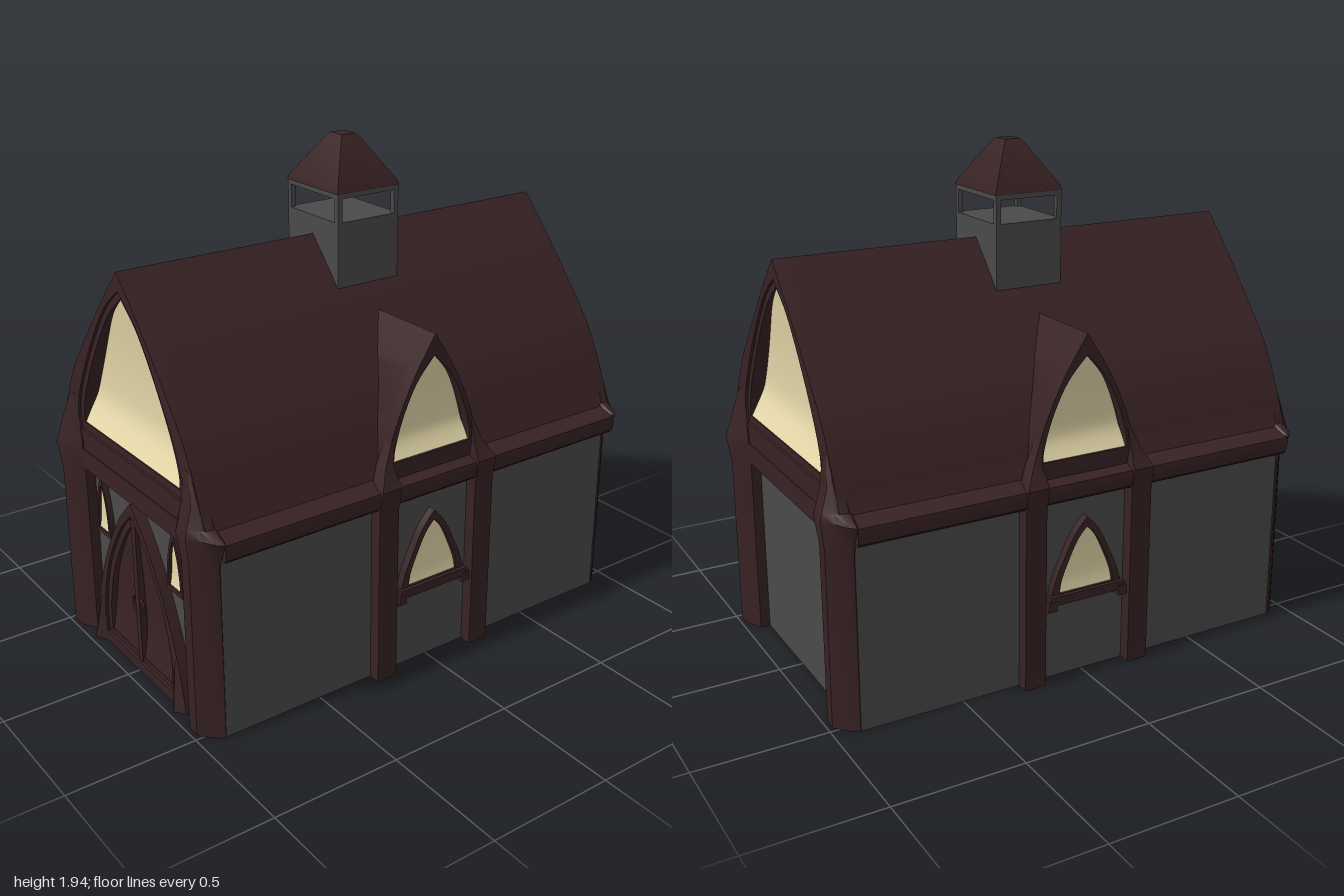
import * as THREE from 'three';
import { toCreasedNormals } from 'three/addons/utils/BufferGeometryUtils.js';

const material = (name, color, side = THREE.FrontSide) => {
  const m = new THREE.MeshStandardMaterial({ color, side });
  m.name = name;
  return m;
};

export function createModel() {
  const model = new THREE.Group();
  model.name = 'chapel';
  const timber = material('dark maroon timber', 0x382224);
  const stone = material('charcoal stone', 0x4a4a4a, THREE.DoubleSide);
  const glass = material('warm cream glass', 0xe6d9aa, THREE.DoubleSide);

  const add = (parent, name, geo, mat, x = 0, y = 0, z = 0) => {
    const mesh = new THREE.Mesh(geo, mat);
    mesh.name = name;
    mesh.position.set(x, y, z);
    parent.add(mesh);
    return mesh;
  };
  const box = (parent, name, mat, w, h, d, x, y, z) =>
    add(parent, name, new THREE.BoxGeometry(w, h, d), mat, x, y, z);

  // Half arch (base to apex) smoothed through a few points
  const curve = (pts, n = 20) =>
    new THREE.SplineCurve(pts.map(p => new THREE.Vector2(...p))).getPoints(n);
  const archPoints = half => [...half, ...half.slice(0, -1).reverse().map(p => new THREE.Vector2(-p.x, p.y))];
  const extrude = (shape, z0, z1) =>
    new THREE.ExtrudeGeometry(shape, { depth: z1 - z0, bevelEnabled: false }).translate(0, 0, z0);

  // Solid or hollow arch running from z0 to z1
  const archSolid = (half, z0, z1, hole) => {
    const shape = new THREE.Shape(archPoints(half));
    if (hole) shape.holes.push(new THREE.Path(archPoints(hole)));
    return toCreasedNormals(extrude(shape, z0, z1), 0.5);
  };

  // Thin vault, open below; its back edge may follow a rule of height
  const vault = (half, z0, z1, backAt = () => z0) => {
    const y0 = half[0].y, k = 0.965;
    const inner = half.map(p => new THREE.Vector2(p.x * k, y0 + (p.y - y0) * k));
    const geo = extrude(new THREE.Shape([...archPoints(half), ...archPoints(inner).reverse()]), z0, z1);
    const p = geo.attributes.position;
    for (let i = 0; i < p.count; i++)
      if (p.getZ(i) < (z0 + z1) / 2) p.setZ(i, backAt(p.getY(i)));
    return toCreasedNormals(geo, 0.5);
  };

  // Arched pane, hollowed towards its lower third
  const archPane = (half, z, depth) => {
    const y0 = half[0].y, h = half.at(-1).y - y0, pos = [], idx = [];
    half.forEach((p, i) => {
      const t = (p.y - y0) / h;
      const dip = t < 0.25 ? Math.sin(t * 2 * Math.PI) : Math.cos((t - 0.25) / 0.75 * Math.PI / 2);
      pos.push(-p.x, p.y, z - depth * dip, p.x, p.y, z - depth * dip);
      if (i) idx.push(2 * i - 2, 2 * i - 1, 2 * i + 1, 2 * i - 2, 2 * i + 1, 2 * i);
    });
    const geo = new THREE.BufferGeometry();
    geo.setAttribute('position', new THREE.Float32BufferAttribute(pos, 3));
    geo.setIndex(idx);
    geo.computeVertexNormals();
    return geo;
  };

  // Column through [y, [[x, z], ...]] sections
  const loft = (sections, sx = 1, sz = 1) => {
    const rings = sections.map(([y, pts]) => {
      const r = pts.map(([x, z]) => [x * sx, y, z * sz]);
      return sx * sz < 0 ? r.reverse() : r;
    });
    const n = rings[0].length, pos = [];
    const tri = (a, b, c) => pos.push(...a, ...b, ...c);
    for (let k = 0; k + 1 < rings.length; k++) {
      for (let i = 0; i < n; i++) {
        const j = (i + 1) % n, lo = rings[k], up = rings[k + 1];
        tri(lo[i], up[j], lo[j]);
        tri(lo[i], up[i], up[j]);
      }
    }
    const top = rings.at(-1), low = rings[0];
    for (let i = 1; i + 1 < n; i++) {
      tri(top[0], top[i + 1], top[i]);
      tri(low[0], low[i], low[i + 1]);
    }
    const geo = new THREE.BufferGeometry();
    geo.setAttribute('position', new THREE.Float32BufferAttribute(pos, 3));
    geo.computeVertexNormals();
    return toCreasedNormals(geo, 0.6);
  };
  const rect = (x0, x1, z0, z1) => [[x0, z0], [x1, z0], [x1, z1], [x0, z1]];

  // Main roof with rounded eaves over a wall beam
  const slope = curve([[0.535, 0.81], [0.51, 0.87], [0.47, 0.97], [0.4, 1.105], [0.32, 1.21], [0.23, 1.32], [0.11, 1.46], [0, 1.58]]);
  const eaves = [[0.585, 0.715], [0.597, 0.725], [0.603, 0.755], [0.6, 0.785]].map(p => new THREE.Vector2(...p));
  add(model, 'roof', vault([...eaves, ...slope], -0.91, 0.91), timber);
  for (const s of [-1, 1]) box(model, 'eavesBeam', timber, 0.046, 0.07, 1.81, s * 0.568, 0.751, 0);
  const roofXAt = y => {
    const i = Math.max(1, slope.findIndex(p => p.y >= y)), a = slope[i - 1], b = slope[i];
    return a.x + (b.x - a.x) * Math.max(0, (y - a.y) / (b.y - a.y));
  };

  // Gable ends: frame, glazing, beam and wall
  const gableOpening = curve([[0.355, 0.9], [0.35, 0.97], [0.3, 1.09], [0.2, 1.26], [0.1, 1.395], [0, 1.48]]);
  const gableInner = curve([[0.385, 0.87], [0.38, 0.97], [0.325, 1.1], [0.22, 1.275], [0.11, 1.42], [0, 1.51]]);
  const gableOuter = [new THREE.Vector2(0.535, 0.78), ...slope];
  const ends = [0, Math.PI].map((turn, i) => {
    const end = new THREE.Group();
    end.name = i ? 'backEnd' : 'frontEnd';
    end.rotation.y = turn;
    model.add(end);
    add(end, 'gableFrame', archSolid(gableOuter, 0.895, 0.945, gableInner), timber);
    add(end, 'gableTrim', archSolid(gableInner, 0.88, 0.935, gableOpening), timber);
    add(end, 'gableWindow', archPane(gableOpening, 0.93, 0.05), glass);
    box(end, 'gableBeam', timber, 0.9, 0.08, 0.05, 0, 0.75, 0.925);
    add(end, 'endWall', new THREE.PlaneGeometry(1.09, 0.72), stone, 0, 0.36, 0.907);
    return end;
  });

  // Chamfered corner posts with flared caps that die into the gable edge
  const post = [[0.545, 0.9], [0.552, 0.906], [0.54, 0.925], [0.512, 0.953], [0.48, 0.983], [0.42, 0.978], [0.36, 0.945], [0.36, 0.9]];
  const cap = [[0.578, 0.9], [0.605, 0.912], [0.588, 0.935], [0.535, 0.965], [0.49, 0.998], [0.42, 0.995], [0.36, 0.95], [0.36, 0.9]];
  const neck = [[0.52, 0.9], [0.535, 0.912], [0.533, 0.935], [0.52, 0.958], [0.485, 0.988], [0.42, 0.985], [0.362, 0.95], [0.36, 0.9]];
  const shoulder = [[0.48, 0.9], [0.5, 0.91], [0.5, 0.935], [0.498, 0.95], [0.48, 0.967], [0.42, 0.967], [0.38, 0.945], [0.38, 0.9]];
  const tip = [[0.42, 0.9], [0.45, 0.91], [0.45, 0.93], [0.45, 0.94], [0.44, 0.946], [0.41, 0.946], [0.39, 0.94], [0.39, 0.9]];
  for (const sx of [-1, 1]) for (const sz of [-1, 1])
    add(model, 'cornerPost', loft([[0, post], [0.68, post], [0.79, cap], [0.82, neck], [0.89, shoulder], [1, tip]], sx, sz), timber);

  // Small framed arched window
  const window = (parent, name, outer, inner, back, front, x = 0) => {
    const g = new THREE.Group();
    g.name = name;
    g.position.x = x;
    parent.add(g);
    const i = curve(inner, 12);
    add(g, 'windowFrame', archSolid(curve(outer, 12), back, front, i), timber);
    add(g, 'windowGlass', archPane(i, back + (front - back) * 0.7, 0.006), glass);
    return g;
  };

  // Both long sides: wall, mid posts, dormer and lower window
  const dormerOuter = curve([[0.235, 0.79], [0.21, 0.88], [0.17, 1.01], [0.095, 1.17], [0, 1.32]]);
  const dormerOpening = curve([[0.178, 0.865], [0.173, 0.92], [0.14, 1.03], [0.08, 1.15], [0, 1.24]]);
  for (const s of [-1, 1]) {
    const side = new THREE.Group();
    side.name = s > 0 ? 'leftSide' : 'rightSide';
    side.rotation.y = s * Math.PI / 2;
    model.add(side);
    add(side, 'sideWall', new THREE.PlaneGeometry(1.81, 0.72), stone, 0, 0.36, 0.548);
    add(side, 'dormerRoof', vault(dormerOuter, 0.2, 0.555, y => roofXAt(y) - 0.01), timber);
    add(side, 'dormerFrame', archSolid(dormerOuter, 0.52, 0.56, dormerOpening), timber);
    add(side, 'dormerWindow', archPane(dormerOpening, 0.55, 0.035), glass);
    for (const m of [-1, 1])
      add(side, 'midPost', loft([
        [0, rect(0.182, 0.268, 0.549, 0.597)], [0.7, rect(0.182, 0.268, 0.549, 0.597)],
        [0.79, rect(0.18, 0.268, 0.549, 0.613)], [0.86, rect(0.19, 0.228, 0.52, 0.575)],
        [0.95, rect(0.18, 0.19, 0.52, 0.56)]], m), timber);
    const low = window(side, 'lowerWindow',
      [[0.155, 0.32], [0.135, 0.4], [0.1, 0.48], [0.055, 0.57], [0, 0.635]],
      [[0.115, 0.35], [0.108, 0.4], [0.08, 0.47], [0.04, 0.55], [0, 0.595]], 0.549, 0.58);
    box(low, 'windowSill', timber, 0.32, 0.035, 0.045, 0, 0.33, 0.572);
    for (const m of [-1, 1]) box(low, 'sillEnd', timber, 0.035, 0.04, 0.046, m * 0.152, 0.31, 0.573);
  }

  // Front door: broad pointed surround, two hollowed leaves, handles
  const front = ends[0];
  const door = new THREE.Group();
  door.name = 'door';
  front.add(door);
  const doorOuter = curve([[0.35, 0], [0.305, 0.19], [0.22, 0.4], [0.11, 0.585], [0, 0.705]]);
  const doorInner = curve([[0.262, 0.04], [0.26, 0.18], [0.205, 0.37], [0.1, 0.55], [0, 0.655]]);
  const doorPanel = curve([[0.235, 0.06], [0.232, 0.18], [0.18, 0.36], [0.085, 0.525], [0, 0.625]]);
  add(door, 'doorSurround', archSolid(doorOuter, 0.908, 0.95, doorInner), timber);
  add(door, 'doorTrim', archSolid(doorInner, 0.908, 0.938, doorPanel), timber);
  add(door, 'doorLeaves', archPane(doorPanel, 0.932, 0.018), timber);
  add(door, 'doorBack', archSolid(doorInner, 0.895, 0.909), timber);
  box(door, 'doorMeeting', timber, 0.03, 0.6, 0.035, 0, 0.34, 0.925);
  for (const s of [-1, 1]) {
    const handle = add(door, 'doorHandle', new THREE.TorusGeometry(0.03, 0.006, 6, 10, Math.PI), timber, s * 0.018, 0.28, 0.938);
    handle.rotation.z = -s * Math.PI / 2;
    handle.scale.y = 0.7;
    add(door, 'surroundFoot', loft([
      [0, [[0.26, 0.92], [0.35, 0.92], [0.35, 0.95], [0.31, 0.98], [0.26, 0.95]]],
      [0.06, [[0.26, 0.92], [0.335, 0.92], [0.335, 0.95], [0.3, 0.97], [0.26, 0.95]]],
      [0.2, [[0.27, 0.92], [0.3, 0.92], [0.3, 0.945], [0.285, 0.95], [0.27, 0.945]]]], s), timber);
    // Lancet windows beside the door
    window(front, 'lancetWindow',
      [[0.057, 0.457], [0.05, 0.53], [0.03, 0.63], [0, 0.705]],
      [[0.04, 0.475], [0.036, 0.54], [0.022, 0.61], [0, 0.67]], 0.908, 0.93, s * 0.272);
  }

  // Bell tower with open lantern and hipped cap
  const tower = new THREE.Group();
  tower.name = 'bellTower';
  tower.position.z = -0.005;
  model.add(tower);
  box(tower, 'towerShaft', stone, 0.316, 0.25, 0.276, 0, 1.525, 0);
  for (const sx of [-1, 1]) {
    for (const sz of [-1, 1]) box(tower, 'lanternPost', stone, 0.02, 0.1, 0.02, sx * 0.148, 1.695, sz * 0.128);
    box(tower, 'lanternRim', stone, 0.02, 0.025, 0.276, sx * 0.148, 1.75, 0);
    box(tower, 'lanternRim', stone, 0.276, 0.025, 0.02, 0, 1.75, sx * 0.128);
  }
  add(tower, 'towerCap', loft([
    [1.755, rect(-0.16, 0.16, -0.141, 0.141)], [1.772, rect(-0.155, 0.155, -0.136, 0.136)],
    [1.925, rect(-0.048, 0.048, -0.042, 0.042)], [1.938, rect(-0.036, 0.036, -0.03, 0.03)]]), timber);

  return model;
}
